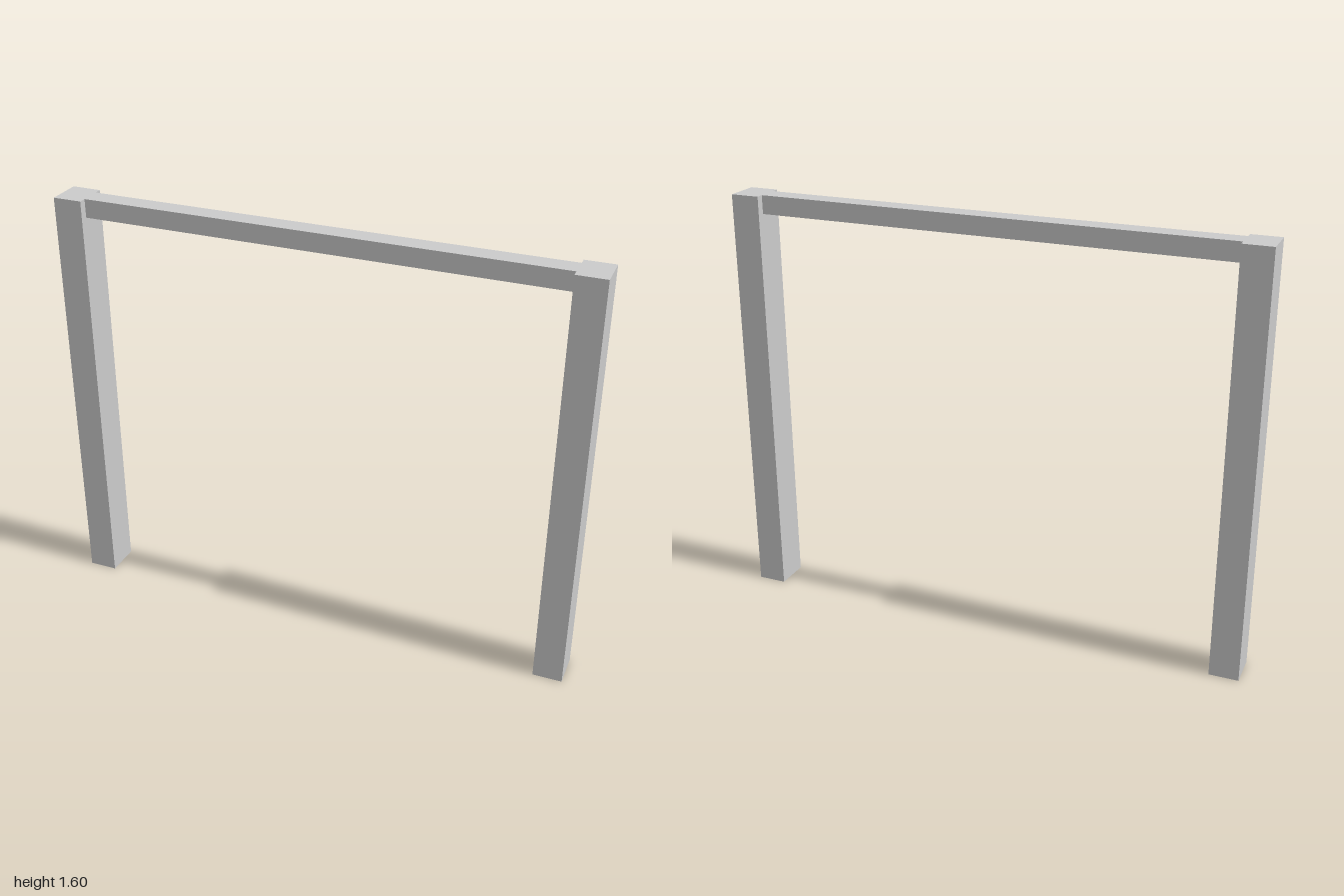
import * as THREE from 'three';

const HEIGHT = 1.6, SPAN = 2;
const POST_W = 0.11, POST_D = 0.135;
const BEAM_H = 0.07, BEAM_D = 0.077;

export function createModel() {
  const model = new THREE.Group();
  model.name = 'postAndBeamFrame';
  const material = new THREE.MeshStandardMaterial({ color: 0xcccccc, flatShading: true });

  const addBox = (name, w, h, d, x, y) => {
    const mesh = new THREE.Mesh(new THREE.BoxGeometry(w, h, d), material);
    mesh.name = name;
    mesh.position.set(x, y, 0);
    model.add(mesh);
  };

  // Two upright posts
  for (const [name, side] of [['leftPost', 1], ['rightPost', -1]]) {
    addBox(name, POST_W, HEIGHT, POST_D, side * (SPAN - POST_W) / 2, HEIGHT / 2);
  }

  // Narrower crossbeam, flush with the post tops
  addBox('crossbeam', SPAN - 2 * POST_W, BEAM_H, BEAM_D, 0, HEIGHT - BEAM_H / 2);

  return model;
}
